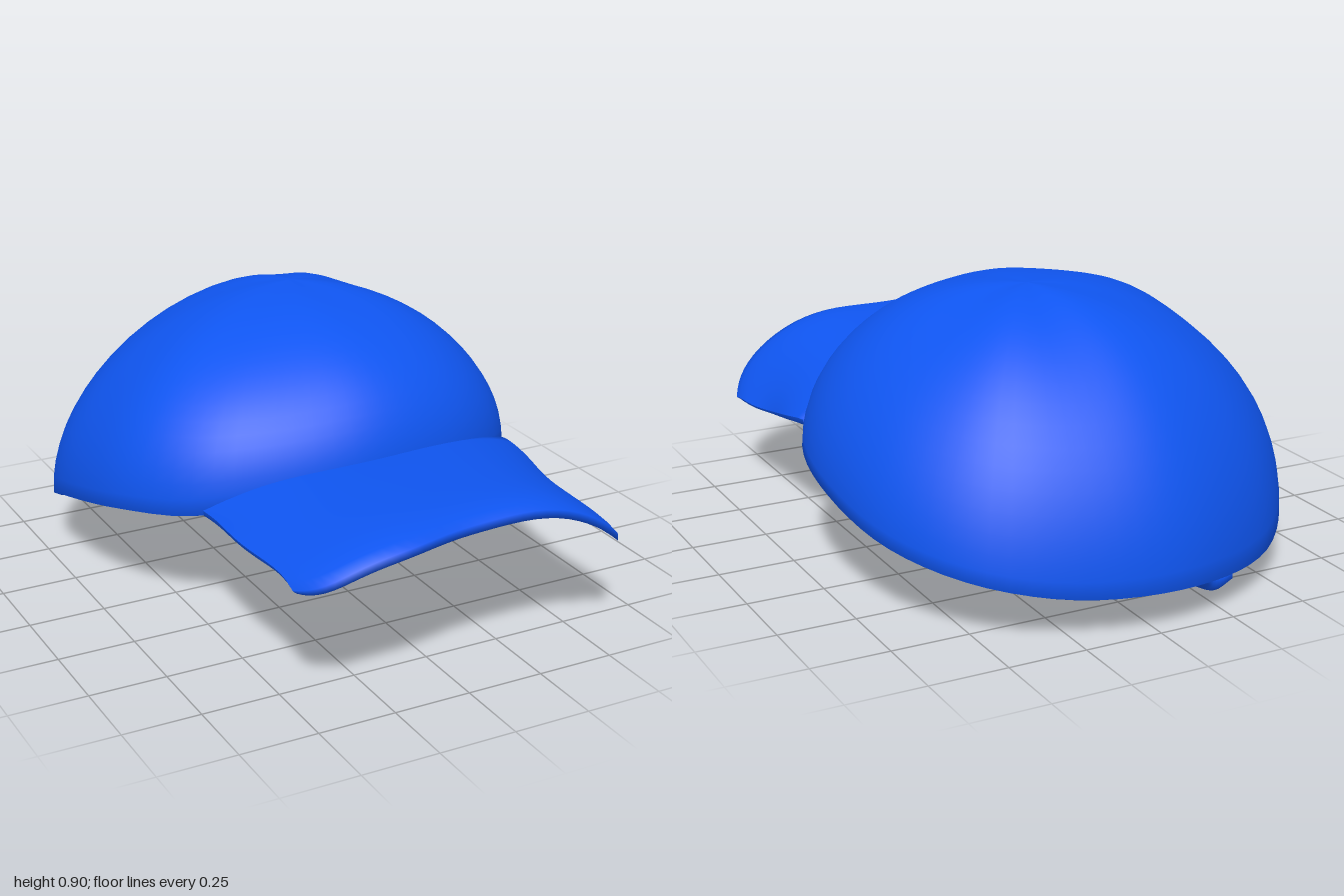
import * as THREE from 'three';

const V = (x, y, z) => new THREE.Vector3(x, y, z);

// Smooth lattice whose columns close on themselves; normal faces column x row
function lattice(rows, cols, point) {
  const pos = [], index = [];
  for (let r = 0; r < rows; r++)
    for (let c = 0; c < cols; c++) pos.push(...point(r, c));
  for (let r = 0; r < rows - 1; r++)
    for (let c = 0; c < cols; c++) {
      const n = (c + 1) % cols;
      const a = r * cols + c, b = r * cols + n, d = (r + 1) * cols + c, e = (r + 1) * cols + n;
      index.push(a, b, e, a, e, d);
    }
  const g = new THREE.BufferGeometry();
  g.setAttribute('position', new THREE.Float32BufferAttribute(pos, 3));
  g.setIndex(index);
  g.computeVertexNormals();
  return g;
}

// Crown: hollow dome between an apex and a tilted rim, outside then inside
function crownGeometry() {
  const rim = new THREE.CatmullRomCurve3([
    V(0, 0.46, 0.42), V(-0.35, 0.42, 0.35), V(-0.55, 0.38, 0.24), V(-0.70, 0.35, 0.02),
    V(-0.74, 0.25, -0.38), V(-0.68, 0.165, -0.6), V(-0.47, 0.11, -0.84), V(-0.1, 0.125, -1.0),
    V(0.25, 0.14, -0.96), V(0.52, 0.19, -0.83), V(0.69, 0.25, -0.58), V(0.74, 0.33, -0.2),
    V(0.69, 0.37, 0.05), V(0.58, 0.39, 0.22), V(0.35, 0.43, 0.36),
  ], true);
  const cols = 72, n = 18, cz = -0.29;
  const edge = rim.getSpacedPoints(cols);
  const { smoothstep } = THREE.MathUtils;
  return lattice(2 * n + 3, cols, (r, c) => {
    const p = edge[c];
    const lip = r === n + 1;
    const inner = r > n + 1;
    const t = lip ? 1 : inner ? (2 * n + 2 - r) / n : r / n;
    const a = t * Math.PI / 2;
    // full at the front panel, straighter toward the back and the left side
    const power = 1.03 - 0.09 * smoothstep(p.z, -0.3, 0.4) + 0.09 * smoothstep(p.x - 0.5 * p.z, 0.2, 0.9);
    const out = Math.sin(a) ** power;
    const up = Math.max(0, Math.cos(a)) ** power;
    const k = out * (lip ? 0.97 : inner ? 0.92 : 1);
    const top = inner ? 0.81 : 0.9;
    // gentle cloth unevenness, stronger on the lining
    const th = c / cols * Math.PI * 2;
    const wave = (inner ? 0.008 : 0.004) * Math.sin(a * 2) * Math.sin(5 * th + 4 * t);
    const cx = 0.07 * (1 - out);
    return [
      cx + p.x * (k + wave),
      p.y + (top - p.y) * up + wave - (lip ? 0.01 : 0),
      cz + (p.z - cz) * (k + wave),
    ];
  });
}

// Brim: arched sheet, drooping more on its left edge, with rounded corners
function brimGeometry() {
  const rows = 41, n = 16;
  return lattice(rows, 2 * n + 2, (r, c) => {
    const s = Math.sin((r / (rows - 1) - 0.5) * Math.PI);
    const under = c > n;
    const v = (under ? 2 * n + 1 - c : c) / n;
    const q = Math.abs(s);
    const x = 0.055 + 0.575 * s + 0.006 * Math.sin(9 * v) * q ** 6;
    const root = 0.36 - 0.5 * (x - 0.05) ** 2;
    const front = 0.962 + 0.035 * Math.exp(-(((x + 0.22) / 0.16) ** 2)) - 0.03 * s * q - 0.12 * q ** 12;
    const droop = s > 0 ? 0.125 + 0.11 * Math.sin(Math.PI * 0.6 * v ** 1.2) : 0.125;
    const thick = (0.075 - 0.03 * v) * Math.sqrt(Math.max(0, 1 - q ** 10)) * (1 - 0.4 * v ** 14);
    const y = 0.52 + 0.037 * v - droop * q ** 3 - 0.03 * v ** 10 + 0.003 * Math.sin(11 * x + 5 * v);
    return [x, y - (under ? thick : 0), root + (front - root) * v];
  });
}

export function createModel() {
  const cap = new THREE.Group();
  cap.name = 'cap';
  const cloth = new THREE.MeshStandardMaterial({ color: 0x0f55f0, side: THREE.DoubleSide });
  const add = (name, geometry) => {
    const mesh = new THREE.Mesh(geometry, cloth);
    mesh.name = name;
    cap.add(mesh);
  };

  add('crown', crownGeometry());
  add('brim', brimGeometry());

  // Loose strap scraps hanging from the back rim
  const scraps = [
    [0.03, [V(-0.18, 0.13, -0.88), V(-0.21, 0.09, -0.86), V(-0.26, 0.05, -0.82), V(-0.31, 0.03, -0.8), V(-0.37, 0.032, -0.77)]],
    [0.03, [V(-0.22, 0.11, -0.85), V(-0.28, 0.085, -0.83), V(-0.33, 0.065, -0.79)]],
    [0.022, [V(-0.43, 0.14, -0.79), V(-0.41, 0.1, -0.74), V(-0.41, 0.065, -0.72)]],
  ];
  scraps.forEach(([radius, points], i) =>
    add('strapScrap' + (i + 1), new THREE.TubeGeometry(new THREE.CatmullRomCurve3(points), 14, radius, 8)));

  return cap;
}
